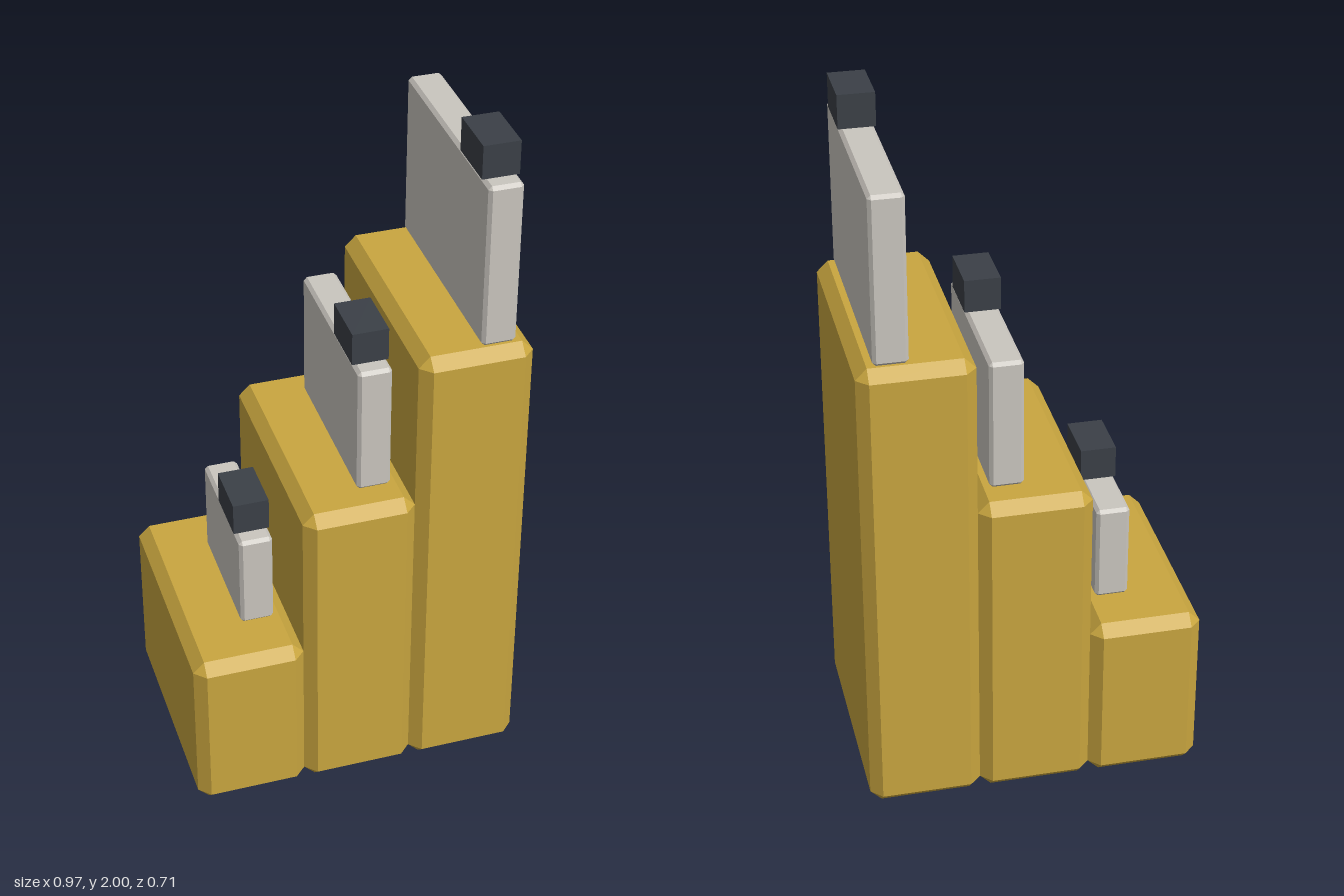
import * as THREE from 'three';
import { ConvexGeometry } from 'three/addons/geometries/ConvexGeometry.js';

// Box with every edge cut at 45 degrees
function chamferBox(w, h, d, c) {
  const points = [];
  for (const sx of [-1, 1]) for (const sy of [-1, 1]) for (const sz of [-1, 1]) {
    for (const [a, b, e] of [[0, c, c], [c, 0, c], [c, c, 0]]) {
      points.push(new THREE.Vector3(sx * (w / 2 - a), sy * (h / 2 - b), sz * (d / 2 - e)));
    }
  }
  return new ConvexGeometry(points);
}

export function createModel() {
  const model = new THREE.Group();
  model.name = 'steppedBlocks';

  const ochre = new THREE.MeshStandardMaterial({ color: 0xc9a63f });
  ochre.name = 'ochre';
  const paleGrey = new THREE.MeshStandardMaterial({ color: 0xcac6bf });
  paleGrey.name = 'pale grey';
  const charcoal = new THREE.MeshStandardMaterial({ color: 0x3b4047 });
  charcoal.name = 'charcoal';

  const u = 2 / 6.2; // width of one block

  function add(parent, name, geometry, material, x, y, z) {
    const mesh = new THREE.Mesh(geometry, material);
    mesh.name = name;
    mesh.position.set(x, y, z);
    parent.add(mesh);
  }

  // Three columns rising towards +x, each a block, an upright panel and a cap
  ['low', 'middle', 'tall'].forEach((size, i) => {
    const column = new THREE.Group();
    column.name = size + 'Column';
    column.position.x = (i - 1) * u;
    model.add(column);

    const blockH = (1.6 + 1.4 * i) * u;
    const panelH = (0.9 + 0.3 * i) * u;
    const panelD = (1.2 + 0.4 * i) * u;
    const capH = 0.3 * u;
    const offset = 0.2 * u;

    add(column, 'block', chamferBox(u, blockH, 2.2 * u, 0.1 * u), ochre, 0, blockH / 2, 0);
    add(column, 'panel', chamferBox(0.3 * u, panelH, panelD, 0.03 * u), paleGrey,
      offset, blockH + panelH / 2, 0);
    add(column, 'cap', new THREE.BoxGeometry(0.32 * u, capH, 0.5 * u), charcoal,
      offset, blockH + panelH + capH / 2, (0.2 + 0.2 * i) * u);
  });

  return model;
}
